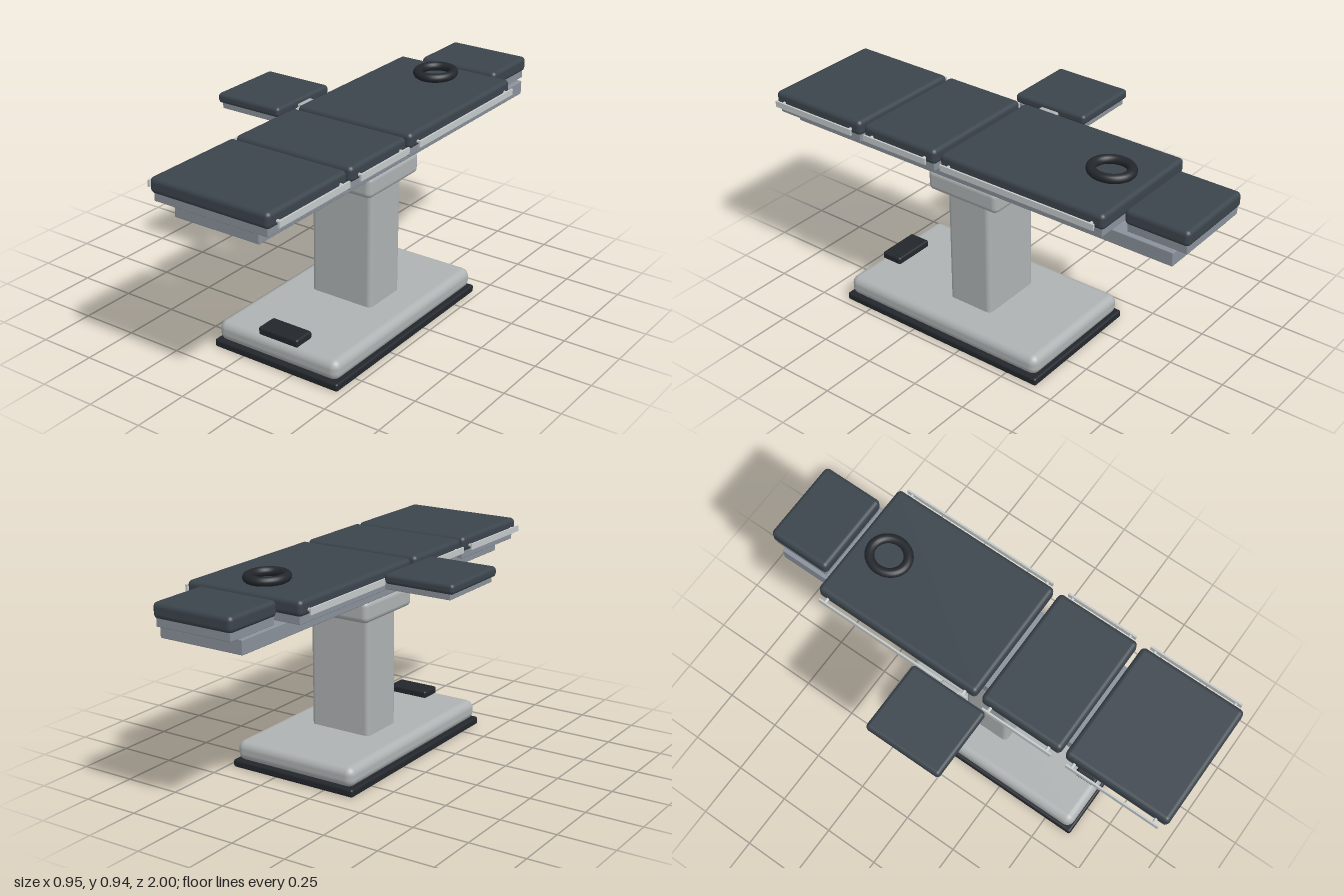
import * as THREE from 'three';
import { RoundedBoxGeometry } from 'three/addons/geometries/RoundedBoxGeometry.js';

const mat = (color) => new THREE.MeshStandardMaterial({ color });

export function createModel() {
  const model = new THREE.Group();
  model.name = 'operatingTable';
  const pad = mat(0x3b444c), dark = mat(0x23272c), steel = mat(0x8a919b);
  const shell = mat(0xaeb2b3), chrome = mat(0xc4c9c9);
  const midX = 0.164;

  // Box given by its extents; a radius rounds its edges
  function box(name, [x0, x1], [y0, y1], [z0, z1], material, radius = 0, parent = model) {
    const w = x1 - x0, h = y1 - y0, d = z1 - z0;
    const geo = radius ? new RoundedBoxGeometry(w, h, d, 4, radius) : new THREE.BoxGeometry(w, h, d);
    const mesh = new THREE.Mesh(geo, material);
    mesh.name = name;
    mesh.position.set((x0 + x1) / 2, (y0 + y1) / 2, (z0 + z1) / 2);
    parent.add(mesh);
    return mesh;
  }

  // Pedestal
  box('basePlinth', [-0.146, 0.472], [0, 0.035], [-0.403, 0.63], dark, 0.01);
  box('baseCover', [-0.136, 0.462], [0.03, 0.12], [-0.393, 0.62], shell, 0.036);
  box('footPedal', [0.065, 0.261], [0.114, 0.15], [0.505, 0.605], dark, 0.01);
  box('column', [0.013, 0.313], [0.1, 0.67], [-0.045, 0.172], shell, 0.022);
  box('columnHead', [-0.026, 0.353], [0.645, 0.744], [-0.116, 0.242], shell, 0.026);
  box('topFrame', [-0.035, 0.363], [0.742, 0.803], [-0.945, 0.955], steel, 0.004);

  // Main sections: support plate, cushion and a pegged rail on both sides
  const sections = [['back', -0.69, 0.095], ['seat', 0.12, 0.5], ['leg', 0.52, 1.0]];
  for (const [name, z0, z1] of sections) {
    const group = new THREE.Group();
    group.name = name + 'Section';
    model.add(group);
    box(name + 'Plate', [-0.102, 0.43], [0.802, 0.84], [z0 + 0.012, z1 - 0.012], steel, 0.003, group);
    box(name + 'Cushion', [-0.115, 0.443], [0.834, 0.901], [z0, z1], pad, 0.02, group);
    for (const side of [-1, 1]) {
      const railX = midX + side * 0.304;
      box(name + 'Rail', [railX - 0.004, railX + 0.004], [0.845, 0.872], [z0 + 0.025, z1 - 0.025], chrome, 0, group);
      for (const z of [z0 + 0.05, z1 - 0.05]) {
        const peg = new THREE.Mesh(new THREE.CylinderGeometry(0.007, 0.007, 0.04, 12), chrome);
        peg.name = name + 'RailPeg';
        peg.rotation.z = Math.PI / 2;
        peg.position.set(midX + side * 0.285, 0.858, z);
        group.add(peg);
      }
    }
  }

  // Head section
  box('headPlate', [-0.018, 0.34], [0.802, 0.84], [-0.99, -0.728], steel, 0.003);
  box('headCushion', [-0.028, 0.351], [0.834, 0.901], [-1.0, -0.717], pad, 0.02);

  // Ring-shaped head support
  const ring = new THREE.Mesh(new THREE.TorusGeometry(0.0755, 0.0195, 16, 48), dark);
  ring.name = 'headRing';
  ring.rotation.x = Math.PI / 2;
  ring.scale.y = 1.09;
  ring.position.set(0.162, 0.922, -0.533);
  model.add(ring);

  // Arm board clamped to the back section's rail
  const arm = new THREE.Group();
  arm.name = 'armBoard';
  model.add(arm);
  box('armPlate', [-0.457, -0.153], [0.833, 0.862], [-0.168, 0.163], steel, 0.003, arm);
  box('armCushion', [-0.475, -0.153], [0.857, 0.901], [-0.18, 0.175], pad, 0.016, arm);
  box('railClamp', [-0.172, -0.132], [0.817, 0.881], [-0.05, 0.04], shell, 0.008, arm);

  return model;
}
